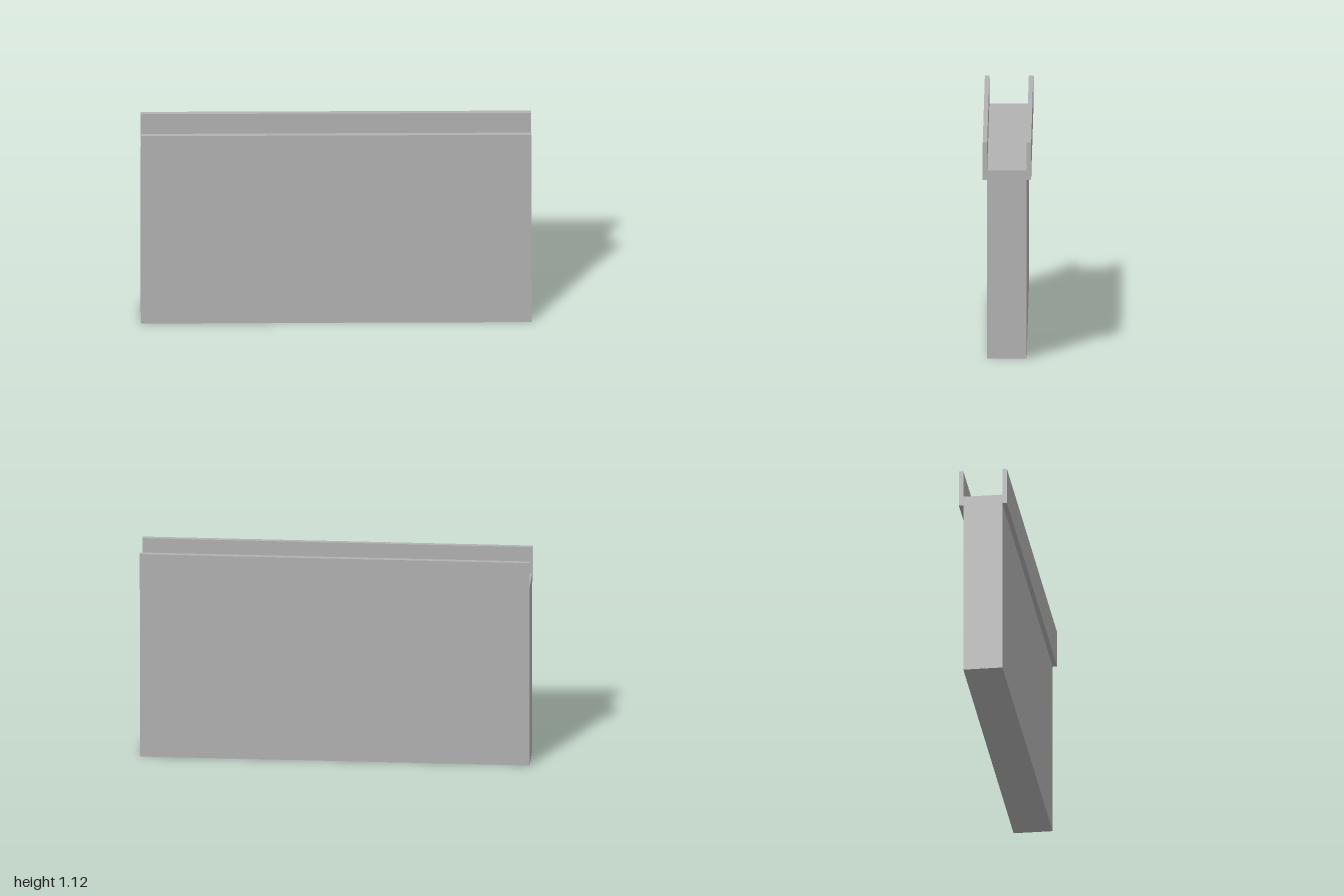
import * as THREE from 'three';

const LENGTH = 2;
const CORE_TOP = 0.977;
const CORE_HALF = 0.101;
const RAIL_BOTTOM = 0.929;
const RAIL_TOP = 1.122;
const RAIL_OUTER = 0.124;

export function createModel() {
  const group = new THREE.Group();
  group.name = 'parapetWall';
  const concrete = new THREE.MeshStandardMaterial({ color: 0xb2b2b2 });
  concrete.name = 'concrete grey';

  const addBox = (name, bottom, top, zMin, zMax) => {
    const mesh = new THREE.Mesh(new THREE.BoxGeometry(LENGTH, top - bottom, zMax - zMin), concrete);
    mesh.name = name;
    mesh.position.set(0, (bottom + top) / 2, (zMin + zMax) / 2);
    group.add(mesh);
  };

  // Solid wall
  addBox('wall', 0, CORE_TOP, -CORE_HALF, CORE_HALF);

  // Thin boards along both faces, rising above the wall to form a channel
  addBox('frontBoard', RAIL_BOTTOM, RAIL_TOP, CORE_HALF, RAIL_OUTER);
  addBox('backBoard', RAIL_BOTTOM, RAIL_TOP, -RAIL_OUTER, -CORE_HALF);

  return group;
}
